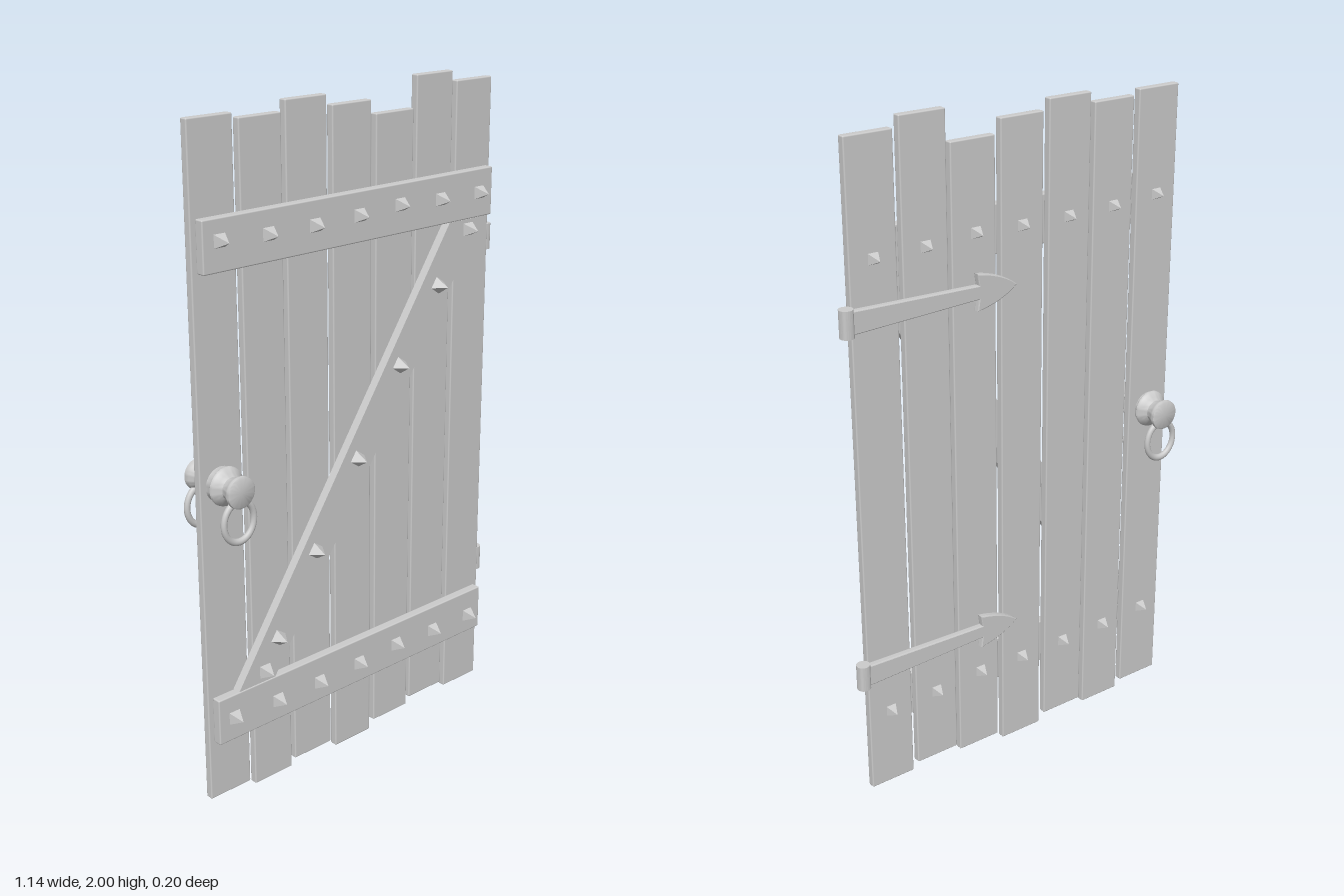
import * as THREE from 'three';
import { toCreasedNormals } from 'three/addons/utils/BufferGeometryUtils.js';
import { RoundedBoxGeometry } from 'three/addons/geometries/RoundedBoxGeometry.js';

const mat = new THREE.MeshStandardMaterial({ color: 0xcccccc });
const flatMat = new THREE.MeshStandardMaterial({ color: 0xcccccc, flatShading: true });

export function createModel() {
  const door = new THREE.Group();
  door.name = 'plankDoor';

  const add = (parent, name, geometry, x, y, z, material = mat) => {
    const mesh = new THREE.Mesh(geometry, material);
    mesh.name = name;
    mesh.position.set(x, y, z);
    parent.add(mesh);
    return mesh;
  };
  // Box given by its edges, with slightly eased corners
  const board = (name, x0, x1, y0, y1, z0, z1) =>
    add(door, name, new RoundedBoxGeometry(x1 - x0, y1 - y0, z1 - z0, 2, 0.004),
      (x0 + x1) / 2, (y0 + y1) / 2, (z0 + z1) / 2);

  // Vertical planks of uneven length: left edge, right edge, bottom, top
  [
    [-0.57, -0.426, 0.025, 1.965],
    [-0.407, -0.267, 0.005, 1.95],
    [-0.253, -0.11, 0.025, 1.98],
    [-0.09, 0.052, 0, 1.95],
    [0.07, 0.213, 0.025, 1.91],
    [0.225, 0.367, 0.045, 2],
    [0.384, 0.528, 0.025, 1.97],
  ].forEach(([x0, x1, y0, y1]) => board('plank', x0, x1, y0, y1, -0.018, 0.006));

  // Horizontal battens
  board('topBatten', -0.554, 0.511, 1.573, 1.715, 0.006, 0.035);
  board('bottomBatten', -0.554, 0.511, 0.21, 0.352, 0.006, 0.035);

  // Diagonal brace, its ends cut level with the battens
  const brace = new THREE.Shape([
    [-0.479, 0.352], [-0.347, 0.352], [0.474, 1.573], [0.338, 1.573],
  ].map(([x, y]) => new THREE.Vector2(x, y)));
  add(door, 'diagonalBrace',
    new THREE.ExtrudeGeometry(brace, { depth: 0.027, bevelEnabled: false }), 0, 0, 0.006);

  // Pyramid studs
  const studGeo = new THREE.ConeGeometry(0.027, 0.042, 4);
  studGeo.rotateY(Math.PI / 4).rotateX(Math.PI / 2);
  const stud = (x, y, z, back = false, turn = 0) => {
    const mesh = add(door, back ? 'backStud' : 'frontStud', studGeo, x, y, z, flatMat);
    mesh.rotation.set(0, back ? Math.PI : 0, turn);
  };
  const studX = [-0.5, -0.34, -0.18, -0.02, 0.135, 0.295, 0.455];
  const studDrop = [0, 0.008, 0.01, 0.007, 0, 0.008, 0.01];
  studX.forEach((x, i) => {
    for (const row of [1.656, 0.282]) {
      stud(x, row - studDrop[i], 0.054);
      stud(x, row - studDrop[i], -0.031, true);
    }
  });
  [
    [0.415, 1.543, 0], [0.293, 1.396, -0.6], [0.14, 1.186, -0.6], [-0.025, 0.94, -0.6],
    [-0.188, 0.7, -0.6], [-0.333, 0.473, -0.6], [-0.384, 0.385, 0],
  ].forEach(([x, y, turn]) => stud(x, y, 0.053, false, turn));

  // Strap hinges on the back, with a curved arrowhead
  const strap = new THREE.Shape();
  strap.moveTo(0.545, -0.03);
  strap.lineTo(0.545, 0.03);
  strap.lineTo(0.135, 0.017);
  strap.lineTo(0.14, 0.05);
  strap.quadraticCurveTo(0.06, 0.036, 0.016, 0);
  strap.quadraticCurveTo(0.06, -0.036, 0.14, -0.05);
  strap.lineTo(0.135, -0.017);
  strap.closePath();
  const strapGeo = new THREE.ExtrudeGeometry(strap, {
    depth: 0.013, bevelThickness: 0.004, bevelSize: 0.003, bevelSegments: 2, curveSegments: 8,
  });
  const barrelGeo = toCreasedNormals(new THREE.CylinderGeometry(0.02, 0.02, 0.078, 24), 0.6);
  for (const y of [1.493, 0.428]) {
    const hinge = new THREE.Group();
    hinge.name = 'hinge';
    hinge.position.y = y;
    add(hinge, 'hingeStrap', strapGeo, 0, 0, -0.033);
    add(hinge, 'hingeBarrel', barrelGeo, 0.547, 0, -0.026);
    door.add(hinge);
  }

  // Turned knob with a hanging ring, one on each side
  const profile = [
    [0.05, 0], [0.05, 0.022], [0.056, 0.03], [0.054, 0.037], [0.042, 0.046], [0.033, 0.055],
    [0.035, 0.066], [0.042, 0.08], [0.046, 0.09], [0.045, 0.096], [0.04, 0.099], [0, 0.099],
  ].map(([r, h]) => new THREE.Vector2(r, h));
  const knobGeo = toCreasedNormals(new THREE.LatheGeometry(profile, 40).rotateX(Math.PI / 2), 0.7);
  const ringGeo = new THREE.TorusGeometry(0.051, 0.009, 12, 40).scale(1, 1.15, 1);
  for (const side of [0, 1]) {
    const handle = new THREE.Group();
    handle.name = side ? 'backHandle' : 'frontHandle';
    handle.position.set(-0.5, 0.987, 0);
    handle.rotation.y = side * Math.PI;
    add(handle, 'knob', knobGeo, 0, 0, 0);
    add(handle, 'pullRing', ringGeo, 0, -0.087, 0.081);
    door.add(handle);
  }

  return door;
}
